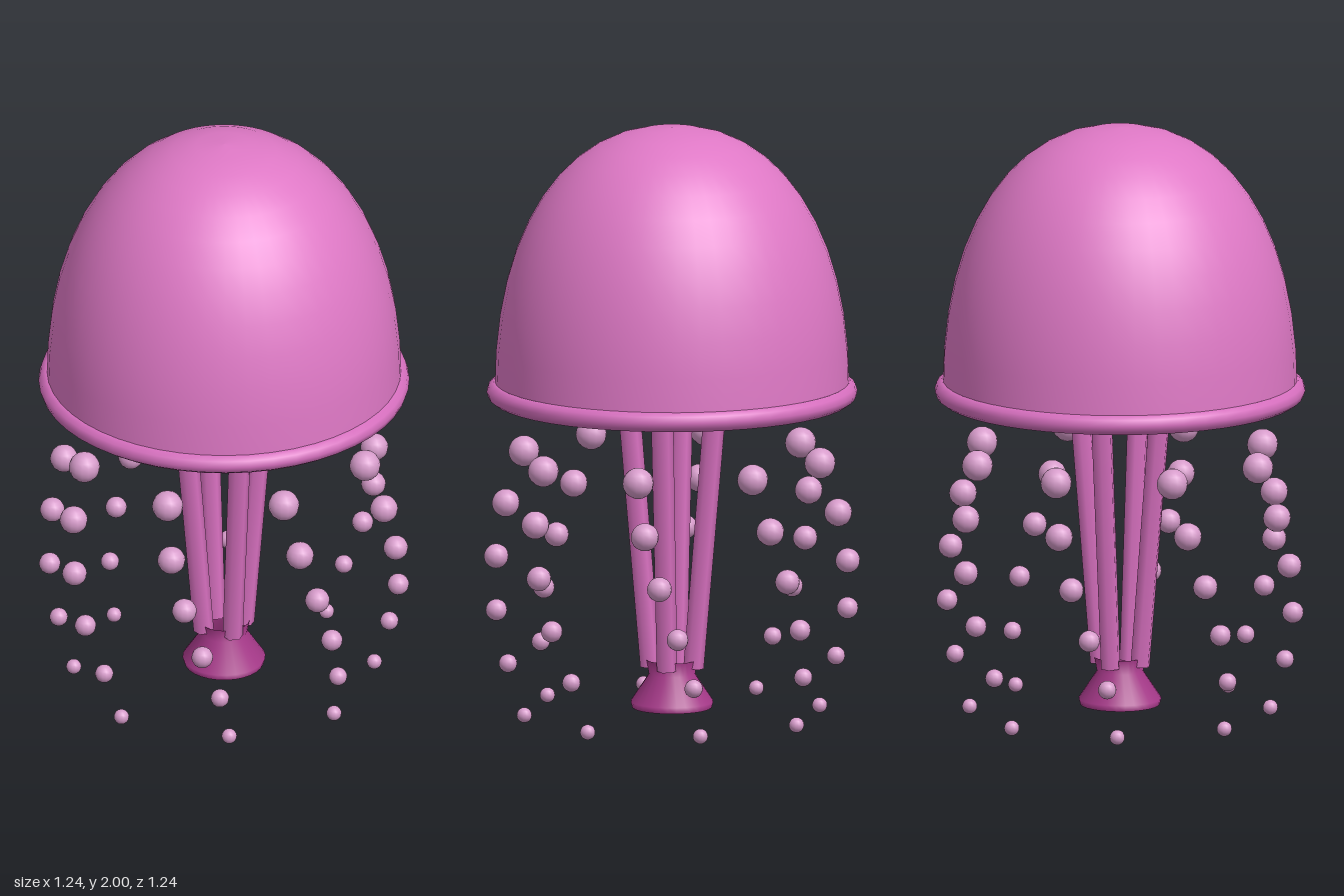
import * as THREE from 'three';

const mat = (name, color, side = THREE.FrontSide) => {
  const m = new THREE.MeshStandardMaterial({ color, side });
  m.name = name;
  return m;
};

export function createModel() {
  const pink = mat('bell pink', 0xde78c5);
  const rosy = mat('arm pink', 0xd66fbe);
  const magenta = mat('cup magenta', 0xa83a8b, THREE.DoubleSide);
  const lilac = mat('bead lilac', 0xd69bca);

  const model = new THREE.Group();
  model.name = 'jellyfish';
  const add = (name, geometry, material, parent = model) => {
    const mesh = new THREE.Mesh(geometry, material);
    mesh.name = name;
    parent.add(mesh);
    return mesh;
  };

  // Bell: a slightly squared half ellipse turned about the y axis
  const profile = [];
  const steps = 12;
  for (let i = 0; i <= steps; i++) {
    const t = (i / steps) * Math.PI / 2;
    const r = i === steps ? 0 : 0.59 * Math.cos(t) ** 0.9;
    profile.push(new THREE.Vector2(r, 1.1 + 0.895 * Math.sin(t) ** 0.9));
  }
  add('bell', new THREE.LatheGeometry(profile, 48), pink);

  // Flat underside and rolled rim
  const underside = add('bellUnderside', new THREE.CircleGeometry(0.585, 48), pink);
  underside.rotation.x = Math.PI / 2;
  underside.position.y = 1.1;
  const rim = add('bellRim', new THREE.TorusGeometry(0.583, 0.034, 10, 48), rosy);
  rim.rotation.x = Math.PI / 2;
  rim.position.y = 1.104;

  // Four arms leaning in towards the cup
  const up = new THREE.Vector3(0, 1, 0);
  for (const [sx, sz] of [[1, 1], [1, -1], [-1, -1], [-1, 1]]) {
    const top = new THREE.Vector3(0.104 * sx, 1.05, 0.104 * sz);
    const bottom = new THREE.Vector3(0.052 * sx, 0.17, 0.052 * sz);
    const axis = top.clone().sub(bottom);
    const arm = add('arm', new THREE.CylinderGeometry(0.037, 0.034, axis.length(), 6), rosy);
    arm.position.copy(top).add(bottom).multiplyScalar(0.5);
    arm.quaternion.setFromUnitVectors(up, axis.normalize());
  }

  // Flared cup, open at both ends
  const cup = [[0.132, 0.035], [0.138, 0.056], [0.077, 0.148], [0.086, 0.197]];
  add('cup', new THREE.LatheGeometry(cup.map(([r, y]) => new THREE.Vector2(r, y)), 28), magenta);

  // Eight curling strands of beads that shrink downwards
  const ringRadius = [0.505, 0.56, 0.586, 0.584, 0.55, 0.5];
  const ringTwist = [0, 3.6, 8.8, 14.7, 20.4, 23.8];
  for (let s = 0; s < 8; s++) {
    const strand = new THREE.Group();
    strand.name = 'beadStrand';
    model.add(strand);
    ringRadius.forEach((r, i) => {
      const a = THREE.MathUtils.degToRad(45 * s + ringTwist[i]);
      const bead = add('bead', new THREE.SphereGeometry(0.052 - 0.0053 * i, 14, 10), lilac, strand);
      bead.position.set(r * Math.sin(a), 0.88 - 0.171 * i, r * Math.cos(a));
    });
  }
  return model;
}
